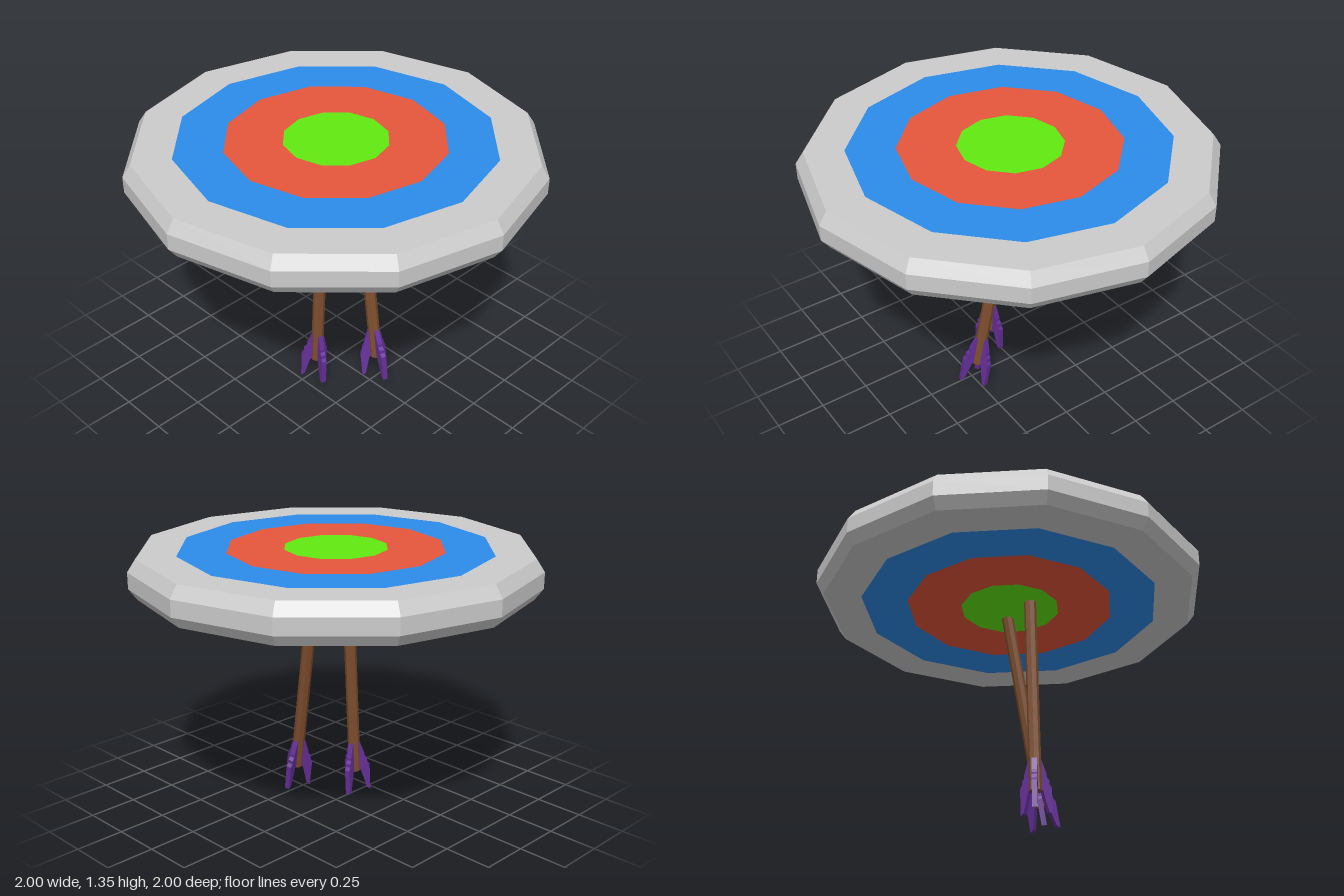
import * as THREE from 'three';

const SIDES = 12, TOP = 1.355, BOTTOM = 1.16;

const paint = (color) => new THREE.MeshStandardMaterial({ color, flatShading: true });
const grey = paint(0xcccccc), blue = paint(0x2c8ceb), red = paint(0xe7563c);
const green = paint(0x61eb10), wood = paint(0x7d4d2d), purple = paint(0x642e96);

function add(parent, name, geometry, material) {
  const mesh = new THREE.Mesh(geometry, material);
  mesh.name = name;
  parent.add(mesh);
  return mesh;
}

// Twelve-sided surface of revolution; profile runs counter-clockwise
const lathe = (profile) =>
  new THREE.LatheGeometry(profile.map(([r, y]) => new THREE.Vector2(r, y)), SIDES);

function createTarget() {
  const target = new THREE.Group();
  target.name = 'target';
  // Bevelled outer rim
  add(target, 'rim', lathe([
    [0.77, BOTTOM], [0.96, BOTTOM], [1, 1.215], [1, 1.295], [0.96, TOP], [0.77, TOP],
  ]), grey);
  // Coloured rings on both faces
  const rings = [['outerRing', 0.77, 0.535, blue], ['middleRing', 0.535, 0.255, red], ['bullseye', 0.255, 0, green]];
  for (const [name, outer, inner, material] of rings) {
    add(target, name + 'Top', lathe([[outer, TOP], [inner, TOP]]), material);
    add(target, name + 'Bottom', lathe([[inner, BOTTOM], [outer, BOTTOM]]), material);
  }
  return target;
}

// Swept-back feather with a notched outer edge: x is radial, y runs along the shaft
const featherOutline = [
  [0.015, 0.16], [0.03, 0.16], [0.055, 0.09], [0.055, 0.075], [0.068, 0.06], [0.068, 0.042],
  [0.08, 0.025], [0.08, -0.11], [0.062, -0.1], [0.034, 0], [0.015, 0.015],
];
const featherGeometry = new THREE.ExtrudeGeometry(
  new THREE.Shape(featherOutline.map(([x, y]) => new THREE.Vector2(x, y))),
  { depth: 0.026, bevelEnabled: false },
).translate(0, 0, -0.013);

function createArrow(name, tail, head) {
  const arrow = new THREE.Group();
  arrow.name = name;
  const axis = head.clone().sub(tail);
  const length = axis.length();
  // Shaft, buried in the target at its head
  add(arrow, 'shaft', new THREE.CylinderGeometry(0.031, 0.031, length, 8).translate(0, length / 2, 0), wood);
  // Three feathers around the tail
  for (let i = 0; i < 3; i++) {
    const feather = add(arrow, 'feather', featherGeometry, purple);
    feather.rotation.y = -THREE.MathUtils.degToRad(105 + i * 120);
  }
  arrow.position.copy(tail);
  arrow.quaternion.setFromUnitVectors(new THREE.Vector3(0, 1, 0), axis.normalize());
  return arrow;
}

export function createModel() {
  const model = new THREE.Group();
  model.name = 'archeryTarget';
  model.add(
    createTarget(),
    createArrow('rightArrow', new THREE.Vector3(-0.163, 0.115, 0.022), new THREE.Vector3(-0.117, 1.22, 0.036)),
    createArrow('leftArrow', new THREE.Vector3(0.05, 0.14, 0.245), new THREE.Vector3(0.093, 1.22, 0.05)),
  );
  return model;
}
